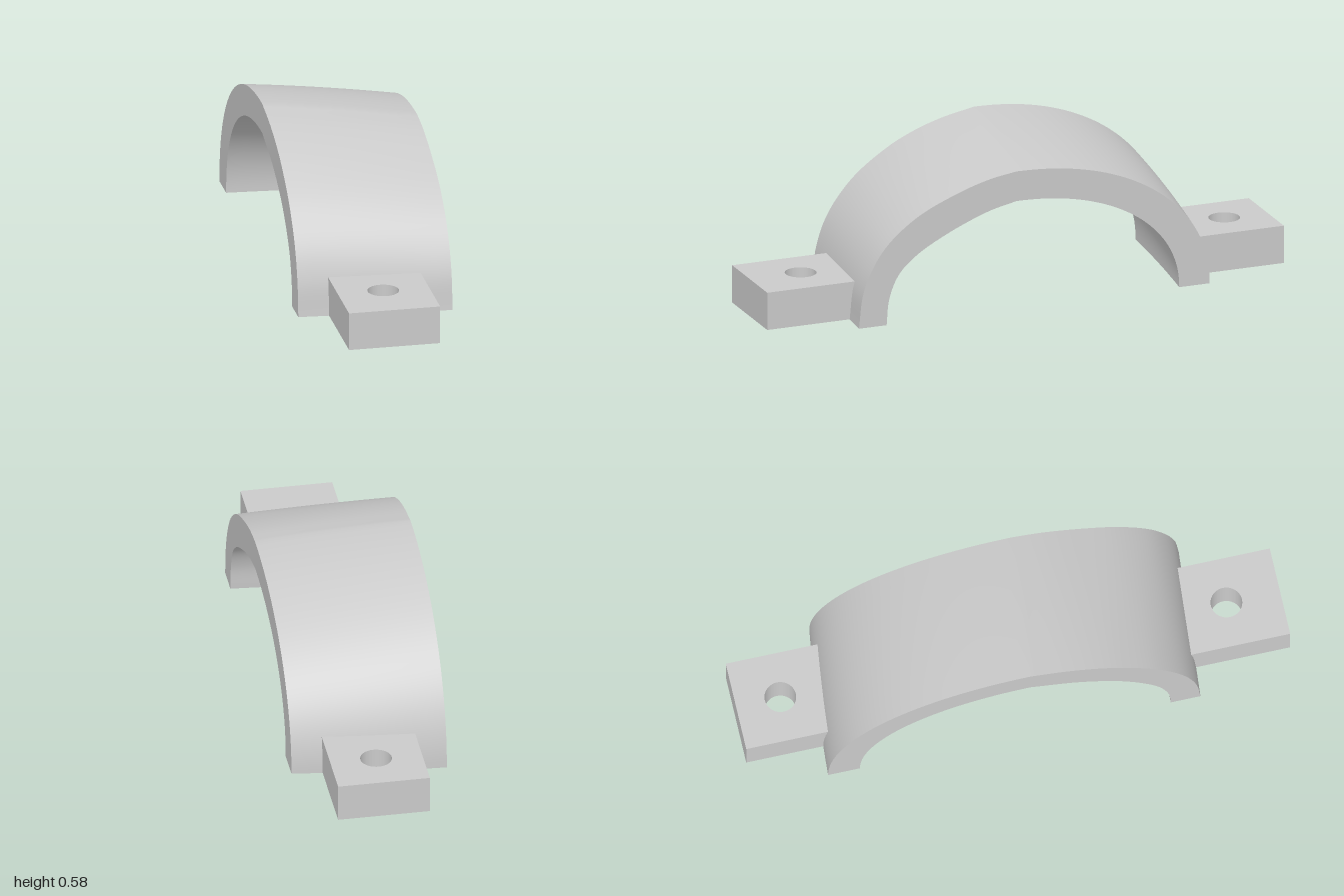
import * as THREE from 'three';

const HALF_WIDTH = 0.278;

// Half-section profile: a drawn front curve [z, y] from foot to crown,
// then a rounded quarter from the crown down to the back foot
function section(frontPts, backFoot) {
  const front = new THREE.CatmullRomCurve3(frontPts.map(([z, y]) => new THREE.Vector3(0, y, z)));
  const [crownZ, crownY] = frontPts[frontPts.length - 1];
  const power = 2 / 2.15;
  return t => {
    if (t <= 0.5) return front.getPointAt(2 * t);
    const a = (t - 0.5) * Math.PI;
    const sin = Math.max(0, Math.sin(a)) ** power;
    const cos = t >= 1 ? 0 : Math.cos(a) ** power;
    return new THREE.Vector3(0, crownY * cos, crownZ - (crownZ - backFoot) * sin);
  };
}

const leftEnd = {
  outer: section([[0.69, 0], [0.674, 0.125], [0.636, 0.22], [0.575, 0.305], [0.46, 0.395], [0.3, 0.466],
    [0.18, 0.502], [0.08, 0.518]], -0.668),
  inner: section([[0.583, 0], [0.572, 0.1], [0.535, 0.185], [0.47, 0.247], [0.35, 0.315], [0.19, 0.38],
    [0.08, 0.406]], -0.55),
};
const rightEnd = {
  outer: section([[0.645, 0], [0.63, 0.13], [0.585, 0.25], [0.49, 0.372], [0.36, 0.468], [0.26, 0.518],
    [0.15, 0.555], [0.02, 0.582]], -0.724),
  inner: section([[0.535, 0], [0.53, 0.085], [0.5, 0.175], [0.45, 0.245], [0.35, 0.335], [0.2, 0.415],
    [0.02, 0.47]], -0.607),
};

// Point on the arch: s across the width, t along the arc, layer 'outer' or 'inner'
function archPoint(s, t, layer) {
  const p = rightEnd[layer](t).lerp(leftEnd[layer](t), s);
  const bow = 1 + 0.035 * s * (1 - s);
  p.y *= bow;
  if (p.z < 0) p.z *= bow;
  p.x = (2 * s - 1) * HALF_WIDTH;
  return p;
}

// Point inside the wall: w = 0 on the outer face, 1 on the inner face
const wallPoint = (s, t, w) => archPoint(s, t, 'outer').lerp(archPoint(s, t, 'inner'), w);

// Surface patch over (u, v), facing along du x dv
function patch(fn, nu, nv) {
  const pos = [], idx = [];
  for (let i = 0; i <= nu; i++) {
    for (let j = 0; j <= nv; j++) {
      pos.push(...fn(i / nu, j / nv).toArray());
      if (i < nu && j < nv) {
        const a = i * (nv + 1) + j, b = a + nv + 1;
        idx.push(a, b, b + 1, a, b + 1, a + 1);
      }
    }
  }
  const g = new THREE.BufferGeometry();
  g.setAttribute('position', new THREE.Float32BufferAttribute(pos, 3));
  g.setIndex(idx);
  g.computeVertexNormals();
  return g;
}

export function createModel() {
  const model = new THREE.Group();
  model.name = 'archClamp';
  const grey = new THREE.MeshStandardMaterial({ color: 0xcacaca });
  grey.name = 'plain grey';

  const add = (parent, name, geometry) => {
    const mesh = new THREE.Mesh(geometry, grey);
    mesh.name = name;
    parent.add(mesh);
  };

  // Skewed arched band
  const arch = new THREE.Group();
  arch.name = 'archBand';
  model.add(arch);
  add(arch, 'outerSurface', patch((u, v) => wallPoint(u, v, 0), 10, 96));
  add(arch, 'innerSurface', patch((u, v) => wallPoint(1 - u, v, 1), 10, 96));
  add(arch, 'leftEdge', patch((u, v) => wallPoint(1, v, u), 1, 96));
  add(arch, 'rightEdge', patch((u, v) => wallPoint(0, v, 1 - u), 1, 96));
  add(arch, 'frontFoot', patch((u, v) => wallPoint(u, 0, 1 - v), 10, 1));
  add(arch, 'backFoot', patch((u, v) => wallPoint(u, 1, v), 10, 1));

  // Mounting tabs with a bolt hole, inner end buried in the band
  const addTab = (name, zMin, zMax, holeZ) => {
    const shape = new THREE.Shape();
    shape.moveTo(-0.167, -zMin);
    shape.lineTo(-0.167, -zMax);
    shape.lineTo(0.167, -zMax);
    shape.lineTo(0.167, -zMin);
    shape.closePath();
    shape.holes.push(new THREE.Path().absarc(0, -holeZ, 0.057, 0, Math.PI * 2, true));
    const g = new THREE.ExtrudeGeometry(shape, { depth: 0.141, bevelEnabled: false, curveSegments: 32 });
    g.rotateX(-Math.PI / 2);
    add(model, name, g);
  };
  addTab('frontTab', 0.61, 1, 0.803);
  addTab('backTab', -1, -0.63, -0.837);

  return model;
}
